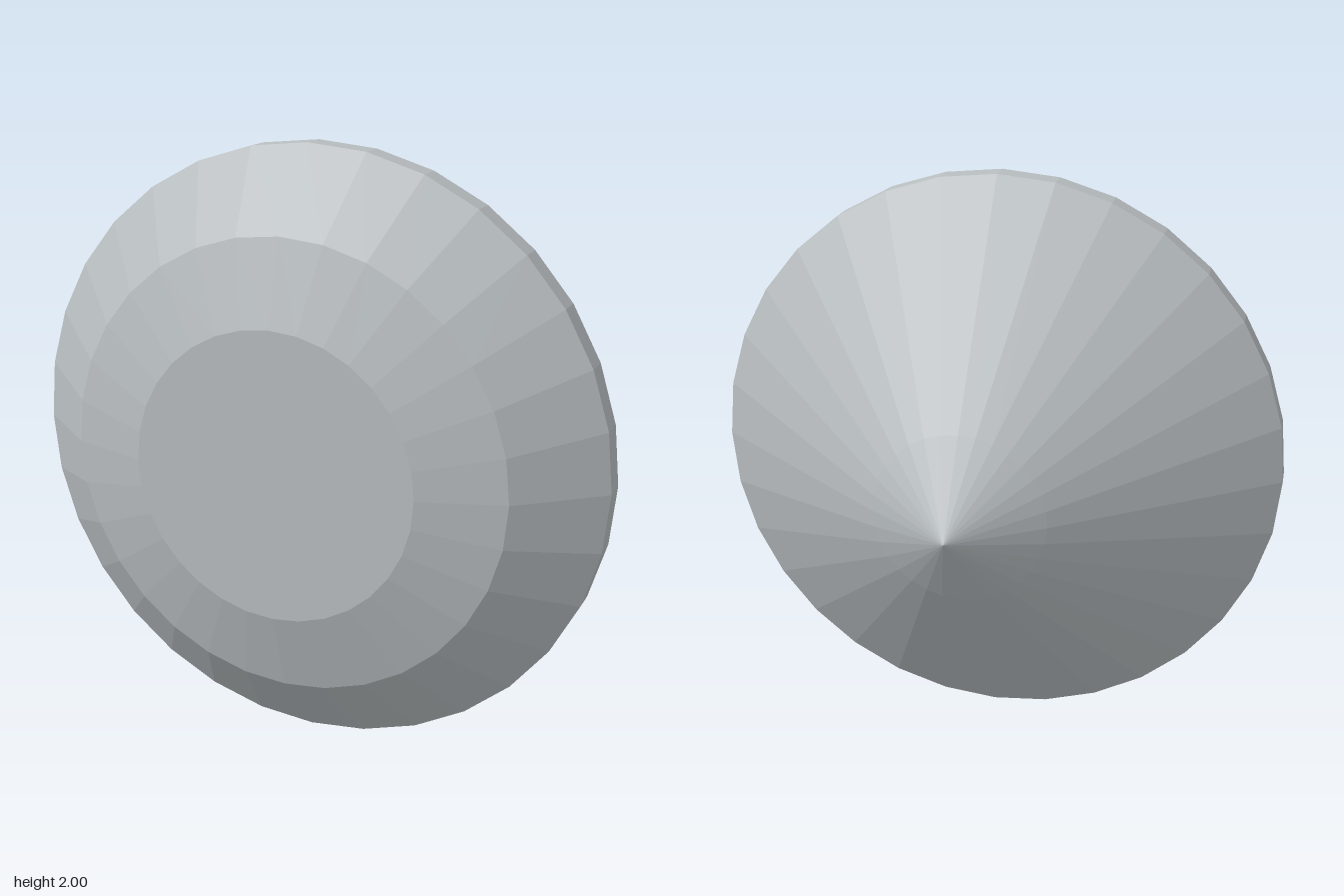
import * as THREE from 'three';

const SIDES = 32;

export function createModel() {
  const gem = new THREE.Group();
  gem.name = 'roundCutGem';

  const stone = new THREE.MeshStandardMaterial({ color: 0xb8bdc0, flatShading: true });
  stone.name = 'paleGreyStone';

  // Each band is a turned profile of [radius, z], listed back to front
  const addBand = (name, profile) => {
    const points = profile.map(([r, z]) => new THREE.Vector2(r, z));
    const geometry = new THREE.LatheGeometry(points, SIDES);
    geometry.rotateX(Math.PI / 2); // turning axis becomes z
    const mesh = new THREE.Mesh(geometry, stone);
    mesh.name = name;
    mesh.position.y = 1;
    gem.add(mesh);
  };

  // Pointed back with a slight bend near the tip
  addBand('pavilion', [[0, -0.555], [0.29, -0.36], [1, 0.18]]);
  // Thin upright rim
  addBand('girdle', [[1, 0.18], [1, 0.265]]);
  // Two sloping rings on the front
  addBand('crown', [[1, 0.265], [0.745, 0.475], [0.475, 0.555]]);

  // Flat front face
  const table = new THREE.Mesh(new THREE.CircleGeometry(0.475, SIDES), stone);
  table.name = 'table';
  table.position.set(0, 1, 0.555);
  gem.add(table);

  return gem;
}
